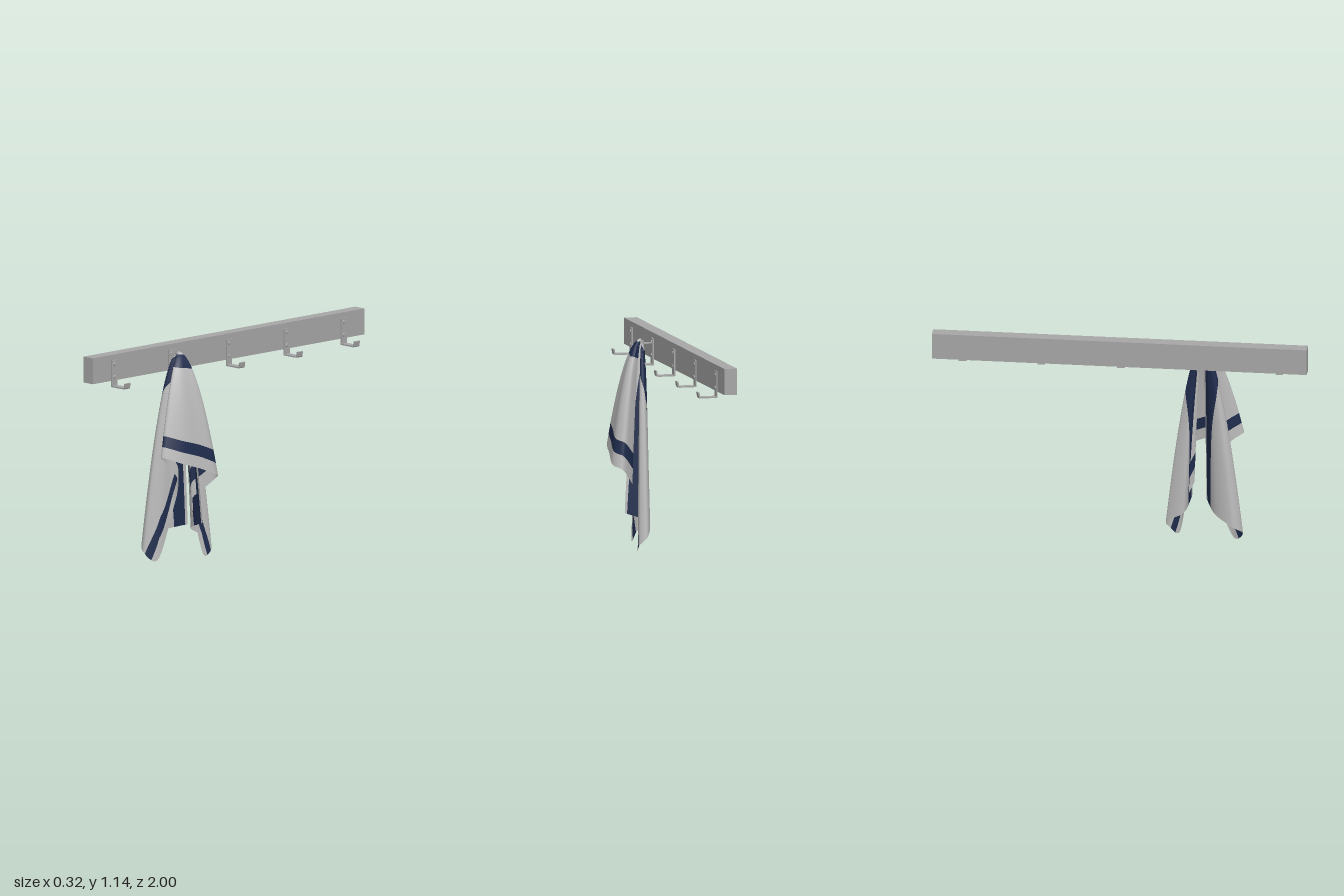
import * as THREE from 'three';

const wood = new THREE.MeshStandardMaterial({ color: 0xa6a6a6 });
wood.name = 'railGrey';
const cloth = new THREE.MeshStandardMaterial({ color: 0xbababa, side: THREE.DoubleSide });
cloth.name = 'towelGrey';
const navy = new THREE.MeshStandardMaterial({ color: 0x1f2c4d, side: THREE.DoubleSide });
navy.name = 'stripeNavy';

function add(parent, name, geometry, material, x = 0, y = 0, z = 0) {
  const mesh = new THREE.Mesh(geometry, material);
  mesh.name = name;
  mesh.position.set(x, y, z);
  parent.add(mesh);
  return mesh;
}

// Bent flat-bar hook: back plate, arm and upturned tip, with two screws
function makeHook(z) {
  const hook = new THREE.Group();
  hook.name = 'hook';
  const s = new THREE.Shape();
  s.moveTo(-0.093, 1.11);
  s.lineTo(-0.093, 0.967);
  s.lineTo(0.002, 0.967);
  s.quadraticCurveTo(0.009, 0.967, 0.010, 0.975);
  s.lineTo(0.014, 0.998);
  s.lineTo(0.007, 1.0);
  s.lineTo(0.002, 0.974);
  s.lineTo(-0.086, 0.974);
  s.lineTo(-0.086, 1.11);
  s.closePath();
  const bar = new THREE.ExtrudeGeometry(s, { depth: 0.04, bevelEnabled: false, curveSegments: 5 });
  add(hook, 'hookBar', bar, wood, 0, 0, -0.02);
  for (const y of [1.02, 1.09]) {
    const screw = add(hook, 'screw', new THREE.CylinderGeometry(0.008, 0.011, 0.005, 16), wood, -0.084, y, 0);
    screw.rotation.z = -Math.PI / 2;
  }
  hook.position.z = z;
  return hook;
}

// Towel hung from the middle of one long edge: every point of the flat cloth is
// carried along the straight line from the hanging point to its place on the hem
function makeTowel() {
  const W = 0.93, L = 0.62;
  const apex = new THREE.Vector3(-0.035, 1.112, 0.43);
  const hem = new THREE.CatmullRomCurve3([
    // far corner, far lobe, back to the front flap
    [0.08, 0.19, 0.36], [-0.04, 0.14, 0.33], [-0.015, 0.08, 0.235], [0.03, 0.03, 0.245],
    [0.025, 0.005, 0.30], [0.0, 0.20, 0.34], [0.02, 0.31, 0.38], [0.06, 0.37, 0.33],
    [0.11, 0.43, 0.285], [0.155, 0.455, 0.33],
    // front flap
    [0.145, 0.50, 0.43],
    // fold, near lobe, near corner
    [0.125, 0.54, 0.55], [0.06, 0.575, 0.64], [0.02, 0.53, 0.57], [0.03, 0.42, 0.49],
    [-0.01, 0.24, 0.50], [-0.02, 0.01, 0.59], [-0.07, 0.05, 0.65], [-0.12, 0.10, 0.60],
    [-0.07, 0.15, 0.50], [0.05, 0.19, 0.44],
  ].map((p) => new THREE.Vector3(...p)), false, 'catmullrom', 0.5);

  function place(u, v) {
    const a = Math.abs(u);
    // where the ray from the hanging point meets the rim of the flat cloth
    const t = Math.max(a / W, v / L);
    if (t < 1e-6) return apex.clone();
    const q = a / W <= v / L ? a / t : W + L - v / t;
    const end = hem.getPoint(0.5 + 0.5 * Math.sign(u) * q / (W + L));
    const gx = Math.pow(t, 0.48), gz = Math.pow(t, 0.58);
    return new THREE.Vector3(
      apex.x + (end.x - apex.x) * gx,
      apex.y + (end.y - apex.y) * t,
      apex.z + (end.z - apex.z) * gz);
  }

  // rows follow the stripes; both long edges carry one
  const bands = [[0, 0.015, 3, 0], [0.015, 0.085, 10, 1], [0.085, 0.49, 36, 0], [0.49, 0.555, 8, 1], [0.555, L, 8, 0]];
  const rows = [0], rowMaterial = [];
  for (const [from, to, n, m] of bands) {
    for (let k = 1; k <= n; k++) {
      rows.push(from + (to - from) * k / n);
      rowMaterial.push(m);
    }
  }
  const cols = 200, pos = [], index = [];
  for (const v of rows) {
    for (let c = 0; c <= cols; c++) {
      const s = 2 * c / cols - 1;
      const p = place(Math.sign(s) * Math.pow(Math.abs(s), 1.4) * W, v);
      pos.push(p.x, p.y, p.z);
    }
  }
  const g = new THREE.BufferGeometry();
  rowMaterial.forEach((m, r) => {
    g.addGroup(index.length, cols * 6, m);
    for (let c = 0; c < cols; c++) {
      const a = r * (cols + 1) + c, b = a + cols + 1;
      index.push(a, a + 1, b, b, a + 1, b + 1);
    }
  });
  g.setAttribute('position', new THREE.Float32BufferAttribute(pos, 3));
  g.setIndex(index);
  g.computeVertexNormals();
  const towel = new THREE.Mesh(g, [cloth, navy]);
  towel.name = 'towel';
  return towel;
}

export function createModel() {
  const model = new THREE.Group();
  model.name = 'towelRack';
  add(model, 'rail', new THREE.BoxGeometry(0.07, 0.14, 2), wood, -0.128, 1.07, 0);
  for (const z of [-0.845, -0.425, 0, 0.425, 0.845]) model.add(makeHook(z));
  // short tab that ties the towel to its hook
  add(model, 'hangingTab', new THREE.BoxGeometry(0.05, 0.006, 0.02), wood, -0.062, 1.085, 0.425);
  model.add(makeTowel());
  return model;
}
